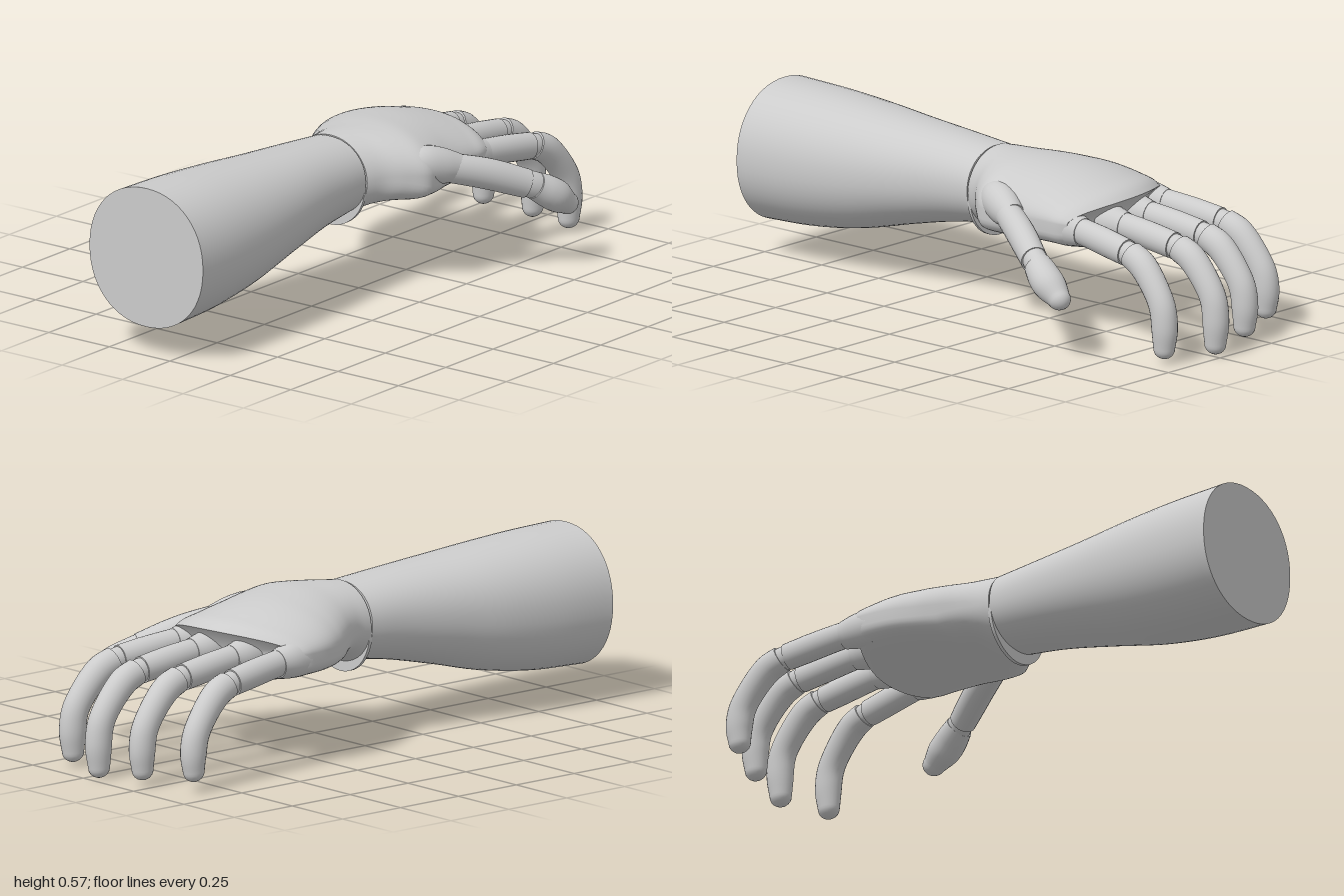
import * as THREE from 'three';

const material = new THREE.MeshStandardMaterial({ color: 0xcccccc });
const V = (x, y, z) => new THREE.Vector3(x, y, z);
const spow = (v, p) => Math.sign(v) * Math.abs(v) ** p;

// Skin over closed rings of equal length, with flat end caps.
function loft(name, rings) {
  const n = rings[0].length, pos = [], idx = [];
  const add = p => pos.push(p.x, p.y, p.z) / 3 - 1;
  rings.forEach(r => r.forEach(add));
  for (let i = 0; i < rings.length - 1; i++) {
    for (let j = 0; j < n; j++) {
      const a = i * n + j, b = i * n + (j + 1) % n;
      idx.push(a, b, b + n, a, b + n, a + n);
    }
  }
  [[rings[0], true], [rings.at(-1), false]].forEach(([ring, start]) => {
    const c = add(ring.reduce((s, p) => s.add(p), V(0, 0, 0)).divideScalar(n));
    const ids = ring.map(add);
    ids.forEach((id, j) => {
      const next = ids[(j + 1) % n];
      idx.push(c, ...(start ? [next, id] : [id, next]));
    });
  });
  const g = new THREE.BufferGeometry();
  g.setAttribute('position', new THREE.Float32BufferAttribute(pos, 3));
  g.setIndex(idx);
  g.computeVertexNormals();
  const mesh = new THREE.Mesh(g, material);
  mesh.name = name;
  return mesh;
}

// Smooth interpolation of rows: first entry is the station, the rest are values.
function profile(rows) {
  const f = new THREE.CubicInterpolant(rows.map(r => r[0]), rows.flatMap(r => r.slice(1)), rows[0].length - 1);
  return t => Array.from(f.evaluate(t));
}

// Ring across x from its bottom, top and two z limits.
function crossRing(x, bottom, top, zMin, zMax, power, n = 56) {
  return Array.from({ length: n }, (_, j) => {
    const a = j / n * Math.PI * 2;
    return V(x, (top + bottom) / 2 + spow(Math.cos(a), power) * (top - bottom) / 2,
      (zMin + zMax) / 2 + spow(Math.sin(a), power) * (zMax - zMin) / 2);
  });
}

// Oval limb along a curve; radii run evenly along it, the far end may be rounded.
function limb(name, points, radii, { tall = 1.1, round = false, steps = 20, sides = 24 } = {}) {
  const curve = new THREE.CatmullRomCurve3(points);
  const radius = profile(radii.map((r, i) => [i / (radii.length - 1), r]));
  const dir = points.at(-1).clone().sub(points[0]).setY(0).normalize();
  const side = V(0, 1, 0).cross(dir).normalize();
  const ring = (c, t, r) => {
    const up = side.clone().cross(t).normalize();
    return Array.from({ length: sides }, (_, j) => {
      const a = j / sides * Math.PI * 2;
      return c.clone().addScaledVector(up, Math.cos(a) * r * tall).addScaledVector(side, Math.sin(a) * r);
    });
  };
  const rings = [];
  for (let i = 0; i <= steps; i++) {
    const u = i / steps;
    rings.push(ring(curve.getPointAt(u), curve.getTangentAt(u), radius(u)[0]));
  }
  if (round) {
    const end = points.at(-1), t = curve.getTangentAt(1), r = radii.at(-1);
    for (let k = 1; k <= 6; k++) {
      const a = k / 6 * Math.PI * 0.49;
      rings.push(ring(end.clone().addScaledVector(t, Math.sin(a) * r), t, Math.cos(a) * r));
    }
  }
  return loft(name, rings);
}

function makeForearm() {
  // x, bottom, top, zMin, zMax
  const at = profile([
    [-1, 0.1, 0.573, -0.332, 0.137], [-0.8, 0.11, 0.568, -0.325, 0.133],
    [-0.6, 0.14, 0.557, -0.305, 0.12], [-0.4, 0.19, 0.543, -0.272, 0.1],
    [-0.2, 0.235, 0.53, -0.243, 0.077], [-0.05, 0.258, 0.518, -0.23, 0.068],
  ]);
  return loft('forearm', Array.from({ length: 31 }, (_, i) => {
    const x = -1 + i / 30 * 0.95;
    return crossRing(x, ...at(x), 0.94);
  }));
}

function makePalm() {
  // station, bottom, top, zMin, zMax
  const at = profile([
    [0, 0.25, 0.52, -0.23, 0.07], [0.1, 0.27, 0.525, -0.238, 0.1],
    [0.2, 0.282, 0.528, -0.26, 0.148], [0.33, 0.283, 0.53, -0.3, 0.195],
    [0.45, 0.282, 0.525, -0.333, 0.197], [0.63, 0.281, 0.512, -0.366, 0.178],
    [0.85, 0.28, 0.483, -0.383, 0.17], [0.96, 0.28, 0.462, -0.383, 0.168],
    [1, 0.284, 0.443, -0.374, 0.16],
  ]);
  const rings = [];
  for (let i = 0; i <= 40; i++) {
    const t = i / 40, [bottom, top, zMin, zMax] = at(t);
    const mid = THREE.MathUtils.lerp((bottom + top) / 2, 0.385, Math.min(1, t * 2));
    rings.push(crossRing(0, -1, 1, zMin, zMax, 1, 72).map(p => {
      // domed back of the hand, flattened underside
      const low = Math.max(0, -p.y), flat = 1 - 0.55 * Math.min(1, t * 3);
      const y = p.y > 0 ? mid + p.y * (top - mid) : mid - low ** flat * (mid - bottom);
      const xEnd = 0.54 - 1.4 * (p.z + 0.06) ** 2 - 0.06 * low;
      return V(-0.045 + t * (xEnd + 0.045), y, p.z);
    }));
  }
  return loft('palm', rings);
}

function makeFinger(name, shift, zBase, zTip, drop) {
  const g = new THREE.Group();
  g.name = name;
  const z = x => THREE.MathUtils.mapLinear(x, 0.53, 0.95, zBase, zTip);
  const at = (x, y) => V(x + shift, y, z(x));
  g.add(
    limb('knuckleSocket', [at(0.44, 0.365), at(0.5, 0.363), at(0.552, 0.36)], [0.056, 0.054, 0.043], { steps: 8 }),
    limb('proximalSegment', [at(0.5, 0.367), at(0.63, 0.353), at(0.765, 0.335)], [0.04, 0.041, 0.042, 0.041]),
    limb('jointBand', [at(0.75, 0.338), at(0.785, 0.331), at(0.815, 0.322)], [0.036, 0.037, 0.036], { steps: 6 }),
    limb('fingertip', [at(0.787, 0.332), at(0.84, 0.308), at(0.9, 0.247), at(0.938, 0.185),
      at(0.949, 0.12), at(0.947, 0.036 + drop)],
    [0.042, 0.044, 0.043, 0.042, 0.042, 0.041, 0.034], { round: true, steps: 28 }),
  );
  return g;
}

function makeThumb() {
  const g = new THREE.Group();
  g.name = 'thumb';
  g.add(
    limb('thumbMount', [V(0.08, 0.425, 0.11), V(0.17, 0.41, 0.15), V(0.27, 0.385, 0.2)],
      [0.03, 0.056, 0.056, 0.043], { steps: 14 }),
    limb('thumbProximalSegment', [V(0.19, 0.403, 0.16), V(0.35, 0.355, 0.25), V(0.475, 0.303, 0.322)],
      [0.042, 0.046, 0.047, 0.044]),
    limb('thumbJointBand', [V(0.465, 0.31, 0.316), V(0.49, 0.298, 0.329), V(0.525, 0.28, 0.345)],
      [0.039, 0.041, 0.041], { steps: 6 }),
    limb('thumbTip', [V(0.5, 0.293, 0.335), V(0.56, 0.256, 0.358), V(0.628, 0.208, 0.371)],
      [0.046, 0.053, 0.053, 0.038], { round: true, tall: 1 }),
  );
  return g;
}

export function createModel() {
  const hand = new THREE.Group();
  hand.name = 'handAndForearm';
  const wristDisc = loft('wristDisc', [-0.052, -0.04].map(x => crossRing(x, 0.217, 0.515, -0.226, 0.064, 1)));
  hand.add(makeForearm(), wristDisc, makePalm(), makeThumb());
  // name, shift in x, z at the base, z at the tip, tip lift
  [
    ['indexFinger', -0.045, 0.115, 0.163, 0.012],
    ['middleFinger', 0.008, -0.03, -0.027, 0],
    ['ringFinger', -0.025, -0.188, -0.205, 0.018],
    ['littleFinger', -0.092, -0.338, -0.382, 0.033],
  ].forEach(f => hand.add(makeFinger(...f)));
  return hand;
}
